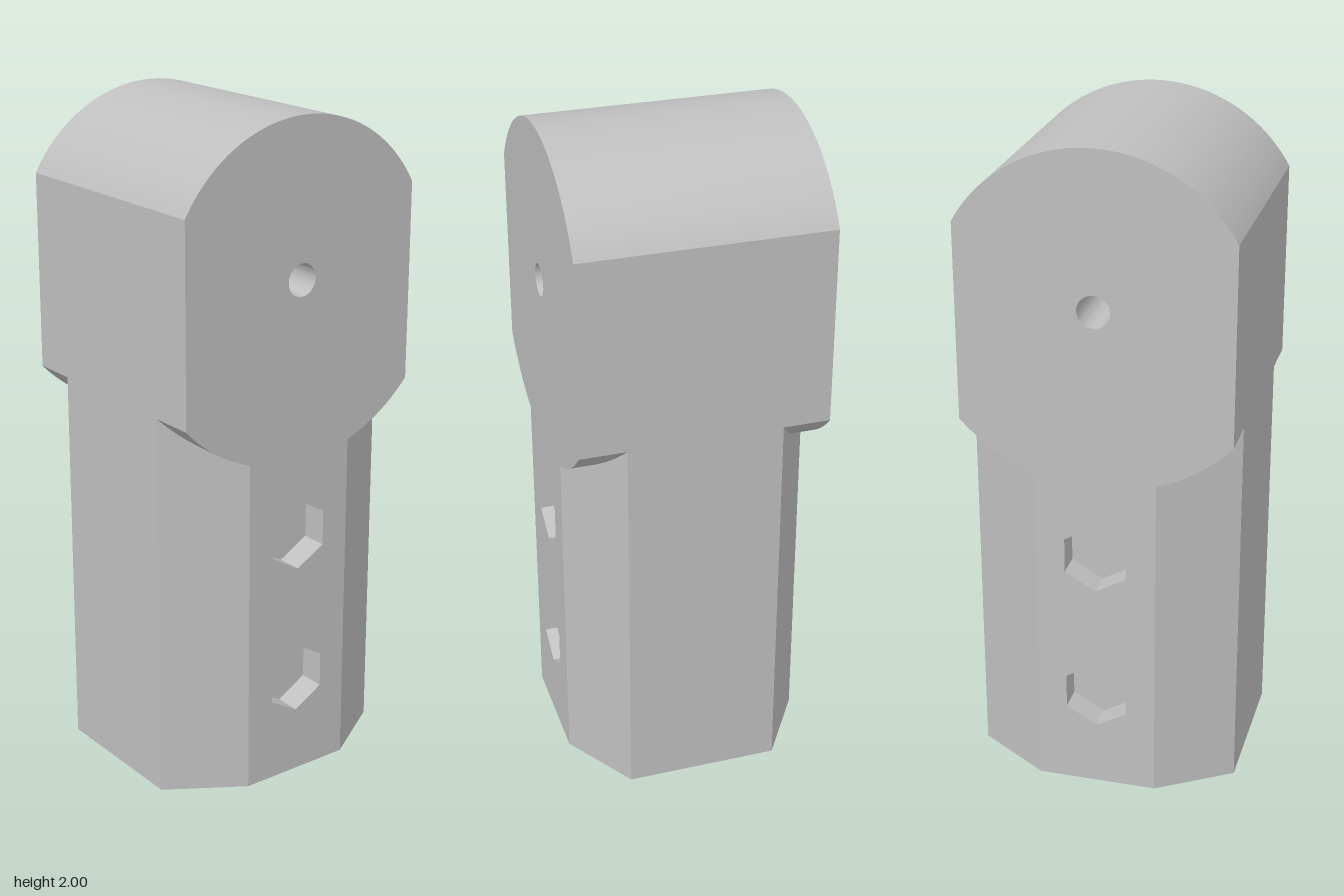
import * as THREE from 'three';
import { toCreasedNormals } from 'three/addons/utils/BufferGeometryUtils.js';

const HALF_W = 0.37, HALF_D = 0.4;     // half width (x) and half depth (z)
const PIVOT_Y = 1.54;                  // centre of the head and its bore
const TOP_R = 0.46, LOW_R = 0.54;      // upper and lower head arcs
const FLAT = 0.18, FRONT = 0.23;       // half widths of the shaft's side and front flats
const POCKET = 0.08;                   // depth of the hex pockets

const drop = (r, z) => Math.sqrt(r * r - z * z);

// Extrude a (z, y) profile along x, from x0 to x1
function extrudeX(shape, x0, x1) {
  const geo = new THREE.ExtrudeGeometry(shape, { depth: x1 - x0, bevelEnabled: false, curveSegments: 40 });
  geo.rotateY(Math.PI / 2);
  geo.translate(x0, 0, 0);
  return toCreasedNormals(geo, 0.35);
}

// Rounded head with a cross bore
function headGeometry() {
  const s = new THREE.Shape();
  const topA = Math.atan2(drop(TOP_R, HALF_D), HALF_D);
  const lowA = Math.atan2(drop(LOW_R, HALF_D), HALF_D);
  const endA = Math.atan2(drop(LOW_R, FLAT), FLAT);
  s.absarc(0, PIVOT_Y, TOP_R, topA, Math.PI - topA, false);
  s.absarc(0, PIVOT_Y, LOW_R, Math.PI + lowA, Math.PI + endA, false);
  s.absarc(0, PIVOT_Y, LOW_R, -endA, -lowA, false);
  s.closePath();
  const bore = new THREE.Path();
  bore.absarc(0, PIVOT_Y, 0.048, 0, Math.PI * 2, true);
  s.holes.push(bore);
  return extrudeX(s, -HALF_W, HALF_W);
}

// Chamfered shaft, recessed on both sides to take the pocket plates
function shaftGeometry() {
  const inner = HALF_W - POCKET;
  const half = [[FRONT, -HALF_D], [HALF_W, -FLAT], [inner, -FLAT], [inner, FLAT], [HALF_W, FLAT], [FRONT, HALF_D]];
  const pts = [...half, ...half.map(([x, z]) => [-x, -z])].map(([x, z]) => new THREE.Vector2(x, z));
  const geo = new THREE.ExtrudeGeometry(new THREE.Shape(pts), {
    depth: PIVOT_Y - drop(LOW_R, HALF_D), bevelEnabled: false,
  });
  geo.rotateX(-Math.PI / 2);
  return geo;
}

// Side plate pierced by two upright hexagons
function plateGeometry(x0, x1) {
  const top = PIVOT_Y - drop(LOW_R, FLAT);
  const s = new THREE.Shape([[-FLAT, 0], [FLAT, 0], [FLAT, top], [-FLAT, top]].map(p => new THREE.Vector2(...p)));
  for (const y of [0.308, 0.773]) {
    const hex = [];
    for (let i = 0; i < 6; i++) {
      const a = Math.PI / 2 - i * Math.PI / 3;
      hex.push(new THREE.Vector2(0.107 * Math.cos(a), y + 0.107 * Math.sin(a)));
    }
    s.holes.push(new THREE.Path(hex).closePath());
  }
  return extrudeX(s, x0, x1);
}

export function createModel() {
  const grey = new THREE.MeshStandardMaterial({ color: 0xbfbfbf });
  grey.name = 'plain grey';
  const model = new THREE.Group();
  model.name = 'pivotPost';
  const add = (name, geo) => {
    const mesh = new THREE.Mesh(geo, grey);
    mesh.name = name;
    model.add(mesh);
  };
  add('head', headGeometry());
  add('shaft', shaftGeometry());
  add('leftPocketPlate', plateGeometry(HALF_W - POCKET, HALF_W));
  add('rightPocketPlate', plateGeometry(-HALF_W, -HALF_W + POCKET));
  return model;
}
